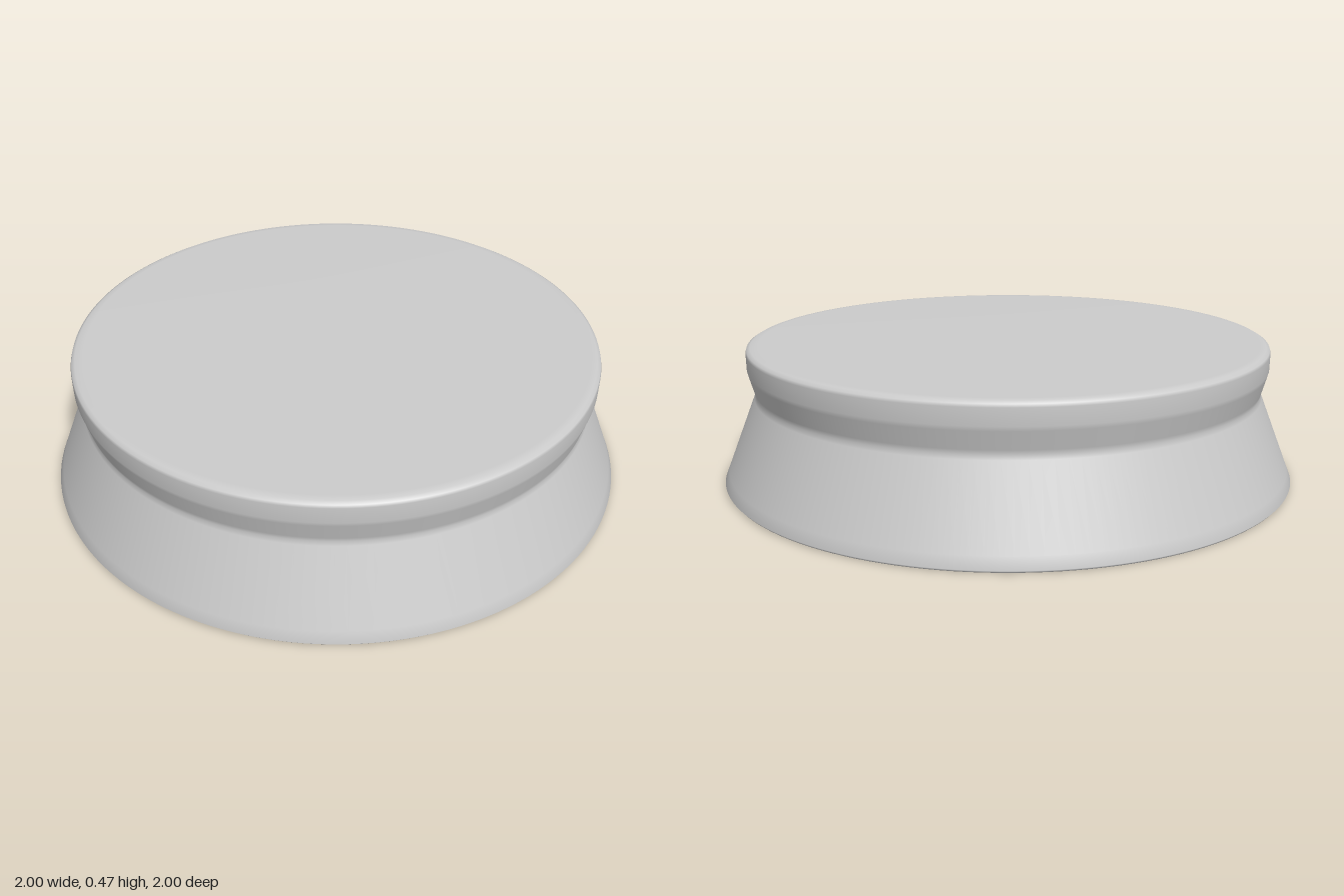
import * as THREE from 'three';
import { mergeVertices } from 'three/addons/utils/BufferGeometryUtils.js';

const material = new THREE.MeshStandardMaterial({ color: 0xcccccc });
const SEGMENTS = 144;
const RIM = 0.975;      // inner radius at the foot
const DOME = 0.34;      // height of the hollow
const FLUTES = 36;

// Revolve a profile of [radius, height] pairs about the y axis
function turned(profile) {
  const points = profile.map(([r, y]) => new THREE.Vector2(r, y));
  return new THREE.LatheGeometry(points, SEGMENTS);
}

function part(name, geometry) {
  const mesh = new THREE.Mesh(geometry, material);
  mesh.name = name;
  return mesh;
}

// Domed underside with shallow flutes radiating from its centre
function domeGeometry() {
  const profile = [];
  for (let i = 0; i <= 24; i++) {
    const a = (i / 24) * Math.PI / 2;
    profile.push([RIM * Math.sin(a), DOME * Math.cos(a)]);
  }
  let geometry = turned(profile);
  const pos = geometry.attributes.position;
  for (let i = 0; i < pos.count; i++) {
    const x = pos.getX(i), z = pos.getZ(i);
    const t = Math.min(1, Math.hypot(x, z) / RIM);
    const depth = 0.004 * Math.sin(Math.PI * t * t);
    pos.setY(i, pos.getY(i) + depth * Math.cos(FLUTES * Math.atan2(z, x)));
  }
  // Weld the seam so the shading stays smooth all round
  geometry.deleteAttribute('normal');
  geometry.deleteAttribute('uv');
  geometry = mergeVertices(geometry, 1e-5);
  geometry.computeVertexNormals();
  return geometry;
}

export function createModel() {
  const group = new THREE.Group();
  group.name = 'flaredCap';

  // Outside: rounded foot rim, sloping skirt, waist and upper band
  const skirt = [[RIM, 0], [0.993, 0], [1, 0.008], [0.985, 0.045], [0.887, 0.295], [0.882, 0.31]];
  const band = [[0.886, 0.325], [0.903, 0.385], [0.907, 0.4], [0.908, 0.455]];

  // Softly bevelled edge and flat top
  const top = [[0.905, 0.465], [0.893, 0.472], [0.87, 0.474], [0, 0.474]];

  group.add(part('outerShell', turned([...skirt, ...band, ...top])));
  group.add(part('flutedHollow', domeGeometry()));
  return group;
}
